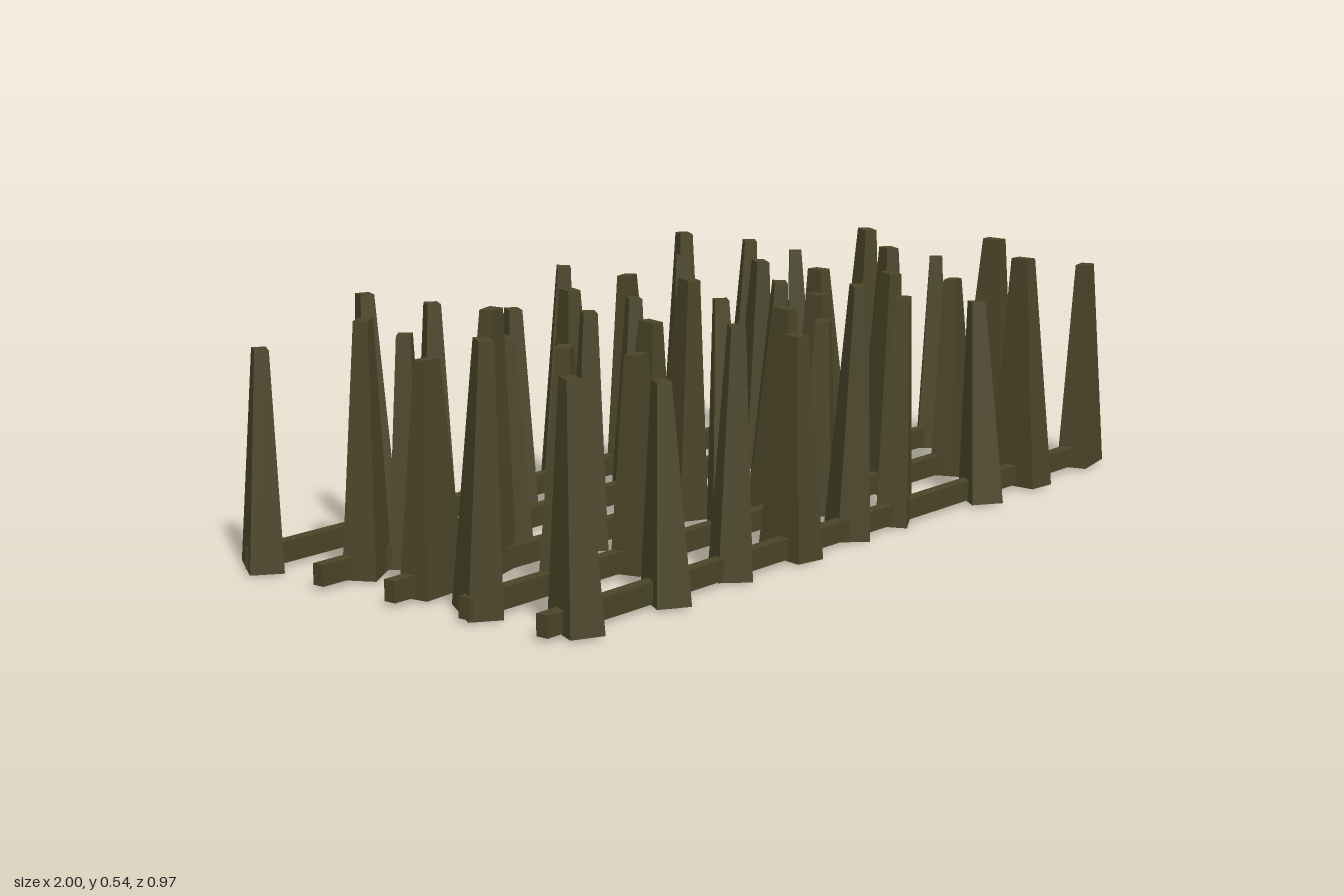
import * as THREE from 'three';

// Stakes of each row, back to front: [x, offset from rail, yaw in degrees]
const rows = [
  [[-0.94, -0.01, 55], [-0.645, 0.02, 60], [-0.445, 0, 55], [-0.19, 0, 58], [-0.02, -0.025, 45],
    [0.2, 0.01, 15], [0.41, -0.005, 55], [0.665, -0.025, 45], [0.85, 0.02, 38]],
  [[-0.845, -0.005, 30], [-0.73, 0, 38], [-0.435, 0, 65], [-0.225, 0, 68], [-0.01, -0.01, 50],
    [0.16, 0.01, 42], [0.45, -0.02, 55], [0.68, 0.01, 80], [0.88, -0.02, 60]],
  [[-0.87, 0.005, 5], [-0.685, -0.02, 15], [-0.39, -0.01, 50], [-0.19, -0.02, 82], [-0.06, -0.025, 68],
    [0.265, -0.03, 45], [0.41, -0.005, 90], [0.69, -0.005, 60], [0.89, -0.005, 35]],
  [[-0.92, -0.025, 58], [-0.69, -0.015, 30], [-0.475, 0.01, 8], [-0.2, 0.015, 45], [0.02, -0.015, 85],
    [0.16, -0.01, 30], [0.415, -0.03, 65], [0.665, 0.01, 15], [0.84, -0.015, 95]],
  [[-0.9, 0.01, 62], [-0.635, 0.01, 55], [-0.4, -0.015, 48], [-0.205, -0.01, 80], [0.015, -0.025, 50],
    [0.18, -0.02, 30], [0.465, 0.02, 48], [0.655, 0.005, 85], [0.925, 0, 12]],
];

// Evenly scattered stake heights between 0.42 and 0.54
const stakeHeight = (n) => 0.42 + 0.12 * ((n * 0.618 + 0.25) % 1);

// Tapered four-sided stake standing on y = 0
function stakeGeometry(height) {
  const geo = new THREE.BoxGeometry(0.122, height, 0.07);
  geo.translate(0, height / 2, 0);
  const p = geo.attributes.position;
  for (let i = 0; i < p.count; i++) {
    if (p.getY(i) > height / 2) {
      p.setX(i, p.getX(i) * 0.36);
      p.setZ(i, p.getZ(i) * 0.42);
    }
  }
  geo.computeVertexNormals();
  return geo;
}

export function createModel() {
  const model = new THREE.Group();
  model.name = 'stakeBarrier';
  const wood = new THREE.MeshStandardMaterial({ color: 0x4a4528 });
  wood.name = 'dark olive wood';

  rows.forEach((stakes, r) => {
    const row = new THREE.Group();
    row.name = `stakeRow${r + 1}`;
    row.position.z = (r - 2) * 0.196;

    // Ground rail joining the stakes
    const rail = new THREE.Mesh(new THREE.BoxGeometry(1.955, 0.044, 0.028), wood);
    rail.name = 'rail';
    rail.position.set(-0.007, 0.034, 0);
    row.add(rail);

    // Stakes lean slightly back over their rail
    stakes.forEach(([x, z, yaw], i) => {
      const height = stakeHeight(r * stakes.length + i);
      const stake = new THREE.Mesh(stakeGeometry(height), wood);
      stake.name = 'stake';
      stake.position.set(x, 0.008, z);
      stake.rotation.set(-z / height, THREE.MathUtils.degToRad(yaw), 0);
      row.add(stake);
    });
    model.add(row);
  });
  return model;
}
